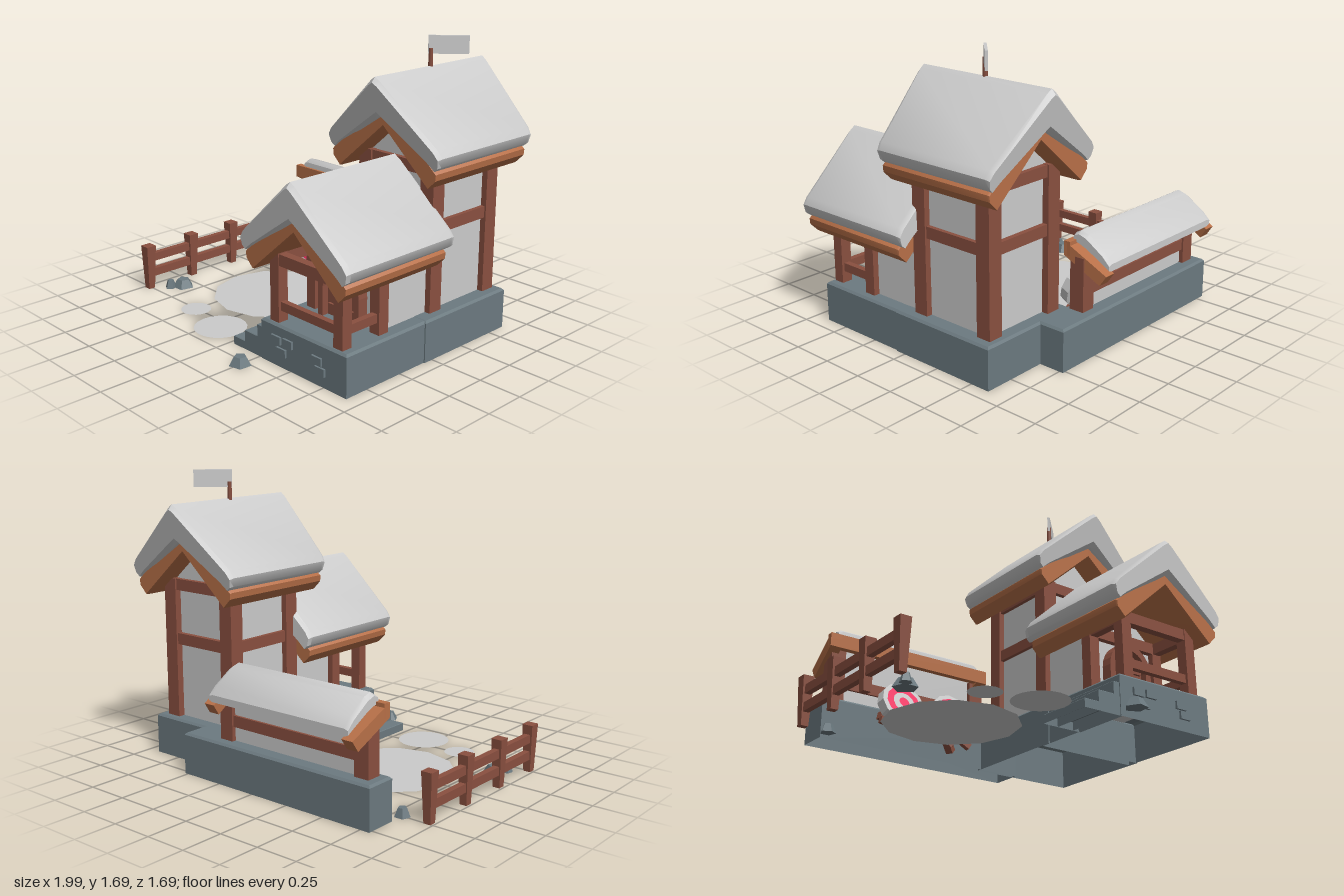
import * as THREE from 'three';
import { toCreasedNormals } from 'three/addons/utils/BufferGeometryUtils.js';

const mat = (color, extra = {}) => new THREE.MeshStandardMaterial({ color, ...extra });
const GREY = mat(0xcccccc);
const WOOD = mat(0x8a5040);
const PLANK = mat(0xb87048);
const STONE = mat(0x6c7a80, { side: THREE.DoubleSide });
const ROCK = mat(0x6c7a80, { flatShading: true });
const PINK = mat(0xf52f63);
const SHEET = mat(0xcccccc, { side: THREE.DoubleSide });
const CX = 0.595; // centre line of the tower and porch

function add(parent, name, geo, material) {
  const mesh = new THREE.Mesh(geo, material);
  mesh.name = name;
  parent.add(mesh);
  return mesh;
}

// Box given by its limits on each axis
function box(parent, name, x0, x1, y0, y1, z0, z1, material = WOOD) {
  const mesh = add(parent, name, new THREE.BoxGeometry(x1 - x0, y1 - y0, z1 - z0), material);
  mesh.position.set((x0 + x1) / 2, (y0 + y1) / 2, (z0 + z1) / 2);
  return mesh;
}

// Square beam between two points
function beam(parent, name, a, b, w) {
  const from = new THREE.Vector3(...a), to = new THREE.Vector3(...b);
  const mesh = add(parent, name, new THREE.BoxGeometry(w, w, from.distanceTo(to)), WOOD);
  mesh.position.copy(from).add(to).multiplyScalar(0.5);
  mesh.lookAt(to);
}

// Skin over equal rings; caps are strips joining point k to point n-1-k
function loft(rings, capEnd = true) {
  const n = rings[0].length, index = [];
  const quad = (a, b, c, d) => index.push(a, b, c, a, c, d);
  for (let r = 0; r < rings.length - 1; r++)
    for (let k = 0; k < n; k++) {
      const a = r * n + k, b = r * n + (k + 1) % n;
      quad(a, b, b + n, a + n);
    }
  const e = (rings.length - 1) * n;
  for (let k = 0; k < n / 2 - 1; k++) {
    quad(k, n - 1 - k, n - 2 - k, k + 1);
    if (capEnd) quad(e + k, e + k + 1, e + n - 2 - k, e + n - 1 - k);
  }
  const geo = new THREE.BufferGeometry();
  geo.setAttribute('position', new THREE.Float32BufferAttribute(rings.flat(2), 3));
  geo.setIndex(index);
  return toCreasedNormals(geo, 0.6);
}

// Draw each point of a strip profile towards its partner
function inset(profile, t) {
  const n = profile.length;
  return profile.map((p, k) => p.map((v, i) => v + (profile[n - 1 - k][i] - v) * t / 2));
}

// Stone block with a bevelled top and an open bottom
function stone(parent, name, x0, x1, h, z0, z1, bevel = 0.012) {
  const rect = (d, y) => [[x0 + d, y, z0 + d], [x1 - d, y, z0 + d], [x1 - d, y, z1 - d], [x0 + d, y, z1 - d]];
  add(parent, name, loft([rect(bevel, h), rect(0, h - bevel), rect(0, 0)], false), STONE);
}

// Gable profile: outer half and inner half mirrored into one closed strip
function gable(outer, inner) {
  const full = half => [...half, ...half.slice(0, -1).reverse().map(([x, y]) => [-x, y])];
  return [...full(outer), ...full(inner).reverse()];
}

// Gabled roof; the ridge overhangs further than the eaves
function roof(parent, peak, front, back, woodFront, woodBack) {
  const g = new THREE.Group();
  g.name = 'gableRoof';
  parent.add(g);
  const ring = (prof, [eave, ridge], shift) => prof.map(([x, y]) =>
    [CX + x, peak + y, eave + (ridge - eave) * (y + 0.45) / 0.45 + shift]);
  const build = (name, prof, f, b, t, d, m) => add(g, name, loft([
    ring(inset(prof, t), f, 0), ring(prof, f, -d), ring(prof, b, d), ring(inset(prof, t), b, 0)]), m);
  build('snowCover', gable(
    [[-0.385, -0.425], [-0.4, -0.375], [-0.375, -0.335], [-0.03, -0.02], [0, 0]],
    [[-0.355, -0.45], [-0.33, -0.435], [-0.3, -0.413], [-0.03, -0.235], [0, -0.215]]),
  front, back, 0.25, 0.028, GREY);
  build('roofBoards', gable(
    [[-0.37, -0.495], [-0.375, -0.46], [0, -0.13]],
    [[-0.315, -0.55], [-0.29, -0.53], [0, -0.275]]),
  [woodFront, woodFront], [woodBack, woodBack], 0.12, 0.012, PLANK);
}

// Wall block with a pointed top
function walls(parent, name, eave, peak, z0, z1) {
  const s = new THREE.Shape([[-0.235, 0.23], [0.235, 0.23], [0.235, eave], [0, peak], [-0.235, eave]]
    .map(([x, y]) => new THREE.Vector2(CX + x, y)));
  add(parent, name, new THREE.ExtrudeGeometry(s, { depth: z1 - z0, bevelEnabled: false }), GREY).position.z = z0;
}

function arch(w, y0, h) {
  const s = new THREE.Shape();
  s.moveTo(CX - w, y0);
  s.lineTo(CX + w, y0);
  s.lineTo(CX + w, h - w);
  s.absarc(CX, h - w, w, 0, Math.PI, false);
  s.lineTo(CX - w, y0);
  return s;
}

export function createModel() {
  const model = new THREE.Group();
  const part = name => {
    const g = new THREE.Group();
    g.name = name;
    model.add(g);
    return g;
  };

  // Foundations, stairs and loose bricks
  const base = part('foundations');
  stone(base, 'porchBase', 0.27, 0.915, 0.238, 0, 0.65);
  stone(base, 'towerBase', 0.262, 0.922, 0.24, -0.62, 0.06);
  stone(base, 'longBase', -0.81, 0.52, 0.242, -0.775, -0.59);
  [[0.03, 0.05], [0.125, 0.115], [0.23, 0.185]].forEach(([x, h]) =>
    stone(base, 'step', x, 0.28, h, 0.31, 0.645, 0.003));
  [[0.395, 0.153], [0.485, 0.157], [0.435, 0.092], [0.705, 0.14], [0.73, 0.088]].forEach(([x, y]) =>
    box(base, 'brick', x - 0.036, x + 0.036, y - 0.022, y + 0.022, 0.635, 0.663, STONE));
  box(base, 'brick', 0.235, 0.3, 0.19, 0.235, 0.1, 0.17, STONE);

  // Tower
  const tower = part('tower');
  walls(tower, 'towerWalls', 1.06, 1.27, -0.54, -0.075);
  for (const s of [-1, 1]) {
    const x = CX + s * 0.225;
    for (const z of [-0.08, -0.535]) box(tower, 'towerPost', x - 0.045, x + 0.045, 0.23, 1.07, z - 0.045, z + 0.045);
    for (const y of [0.713, 1.035]) box(tower, 'sideBeam', x - 0.035, x + 0.035, y - 0.033, y + 0.033, -0.53, -0.09);
  }
  for (const z of [-0.08, -0.535])
    for (const y of [0.713, 1.035]) box(tower, 'crossBeam', 0.38, 0.81, y - 0.033, y + 0.033, z - 0.035, z + 0.035);
  roof(tower, 1.525, [0.07, 0.165], [-0.69, -0.775], 0.07, -0.68);

  // Porch and front room
  const porch = part('porch');
  walls(porch, 'roomWalls', 0.63, 0.84, -0.08, 0.33);
  for (const s of [-1, 1]) {
    const x = CX + s * 0.238;
    box(porch, 'porchPost', x - 0.033, x + 0.033, 0.23, 0.64, 0.565, 0.63);
    box(porch, 'roomPost', x - 0.033, x + 0.033, 0.23, 0.64, 0.295, 0.365);
    box(porch, 'eaveBeam', x - 0.025, x + 0.025, 0.56, 0.625, 0.33, 0.6);
  }
  for (const z of [0.34, 0.6]) box(porch, 'crossBeam', 0.35, 0.84, 0.56, 0.625, z - 0.025, z + 0.025);
  box(porch, 'frontRail', 0.38, 0.81, 0.305, 0.355, 0.58, 0.615);
  box(porch, 'sideRail', 0.815, 0.85, 0.305, 0.355, 0.36, 0.57);
  roof(porch, 1.085, [0.725, 0.757], [-0.07, -0.055], 0.71, -0.03);

  // Arched door with frame and battens
  const door = part('door');
  const frame = arch(0.152, 0.235, 0.56);
  frame.holes.push(arch(0.115, 0.236, 0.523));
  add(door, 'doorFrame', new THREE.ExtrudeGeometry(frame, { depth: 0.07, bevelEnabled: false, curveSegments: 6 }), WOOD).position.z = 0.325;
  add(door, 'doorPanel', new THREE.ExtrudeGeometry(arch(0.115, 0.235, 0.523), { depth: 0.03, bevelEnabled: false, curveSegments: 6 }), WOOD).position.z = 0.325;
  for (const y of [0.29, 0.42]) box(door, 'doorBatten', CX - 0.1, CX + 0.1, y - 0.02, y + 0.02, 0.35, 0.37);

  // Lean-to shelter along the long base
  const shed = part('leanTo');
  box(shed, 'leanToWall', -0.71, 0.24, 0.23, 0.56, -0.69, -0.65, GREY);
  for (const x of [-0.71, 0.24]) box(shed, 'leanToPost', x - 0.045, x + 0.045, 0.23, 0.55, -0.715, -0.625);
  box(shed, 'leanToRail', -0.68, 0.21, 0.325, 0.39, -0.705, -0.635);
  box(shed, 'ridgeBoard', -0.785, 0.29, 0.545, 0.625, -0.625, -0.585, PLANK);
  const board = [[-0.585, 0.625], [-0.85, 0.48], [-0.81, 0.42], [-0.585, 0.545]];
  for (const s of [-1, 1]) {
    const side = off => board.map(([z, y]) => [-0.248 + s * (off + (z + 0.585) * 0.1), y, z]);
    add(shed, 'slopeBoard', loft(s > 0 ? [side(0.54), side(0.47)] : [side(0.47), side(0.54)]), PLANK);
  }
  const drift = [[-0.6, 0.62], [-0.605, 0.655], [-0.64, 0.675], [-0.69, 0.66], [-0.8, 0.585], [-0.845, 0.535],
    [-0.845, 0.495], [-0.8, 0.515], [-0.69, 0.57], [-0.64, 0.59], [-0.62, 0.6], [-0.6, 0.605]];
  const slice = (x, t) => inset(drift, t).map(([z, y]) => [x, y, z]);
  add(shed, 'snowCover', loft([slice(0.235, 0.4), slice(0.21, 0), slice(-0.705, 0), slice(-0.73, 0.4)]), GREY);

  // Archery targets on three-legged stands
  for (const x of [-0.42, -0.09]) {
    const target = part('target');
    target.position.x = x;
    const disc = new THREE.Group();
    disc.name = 'targetDisc';
    disc.position.set(0, 0.215, -0.37);
    disc.rotation.x = -0.35;
    target.add(disc);
    const drum = add(disc, 'straw', new THREE.CylinderGeometry(0.134, 0.14, 0.055, 12), mat(0xcccccc, { flatShading: true }));
    drum.rotation.x = Math.PI / 2;
    drum.position.z = -0.0275;
    [[0.107, PINK], [0.068, GREY], [0.032, PINK]].forEach(([r, m], i) => {
      add(disc, 'targetRing', new THREE.CircleGeometry(r, 12), m).position.z = 0.002 * (i + 1);
    });
    for (const s of [-1, 1]) beam(target, 'frontLeg', [s * 0.03, 0.16, -0.41], [s * 0.075, 0.01, -0.37], 0.035);
    beam(target, 'backLeg', [0, 0.22, -0.41], [0, 0.012, -0.505], 0.042);
  }

  // Fence with tapered posts
  const fence = part('fence');
  for (const z of [-0.485, -0.155, 0.175, 0.505]) {
    const geo = new THREE.CylinderGeometry(0.046, 0.03, 0.28, 4).rotateY(Math.PI / 4);
    add(fence, 'fencePost', geo, mat(0x8a5040, { flatShading: true })).position.set(-0.967, 0.14, z);
  }
  for (const y of [0.1, 0.2]) box(fence, 'fenceRail', -0.985, -0.95, y - 0.025, y + 0.025, -0.485, 0.505);

  // Snow patches on the ground
  [[-0.35, 0.01, 0.375], [-0.49, 0.51, 0.09], [-0.19, 0.565, 0.155]].forEach(([x, z, r]) => {
    const patch = add(model, 'groundPatch', new THREE.CircleGeometry(r, r > 0.3 ? 12 : 20), SHEET);
    patch.rotation.x = -Math.PI / 2;
    patch.position.set(x, 0.006, z);
  });

  // Scattered rocks
  [[-0.81, -0.5, 0.045], [-0.84, 0.34, 0.068], [-0.88, 0.41, 0.035], [0.25, 0.785, 0.064]].forEach(([x, z, r], i) => {
    const rock = add(model, 'rock', new THREE.CylinderGeometry(r * 0.55, r, 0.05, 5), ROCK);
    rock.position.set(x, 0.025, z);
    rock.rotation.y = i * 0.7;
  });

  // Flag on the tower ridge
  const flag = part('flag');
  flag.position.set(CX - 0.005, 0, -0.305);
  flag.rotation.y = Math.PI / 4;
  add(flag, 'flagPole', new THREE.CylinderGeometry(0.014, 0.014, 0.14, 6), WOOD).position.y = 1.55;
  box(flag, 'flagCloth', -0.015, 0.205, 1.59, 1.69, -0.008, 0.008, GREY);

  return model;
}
